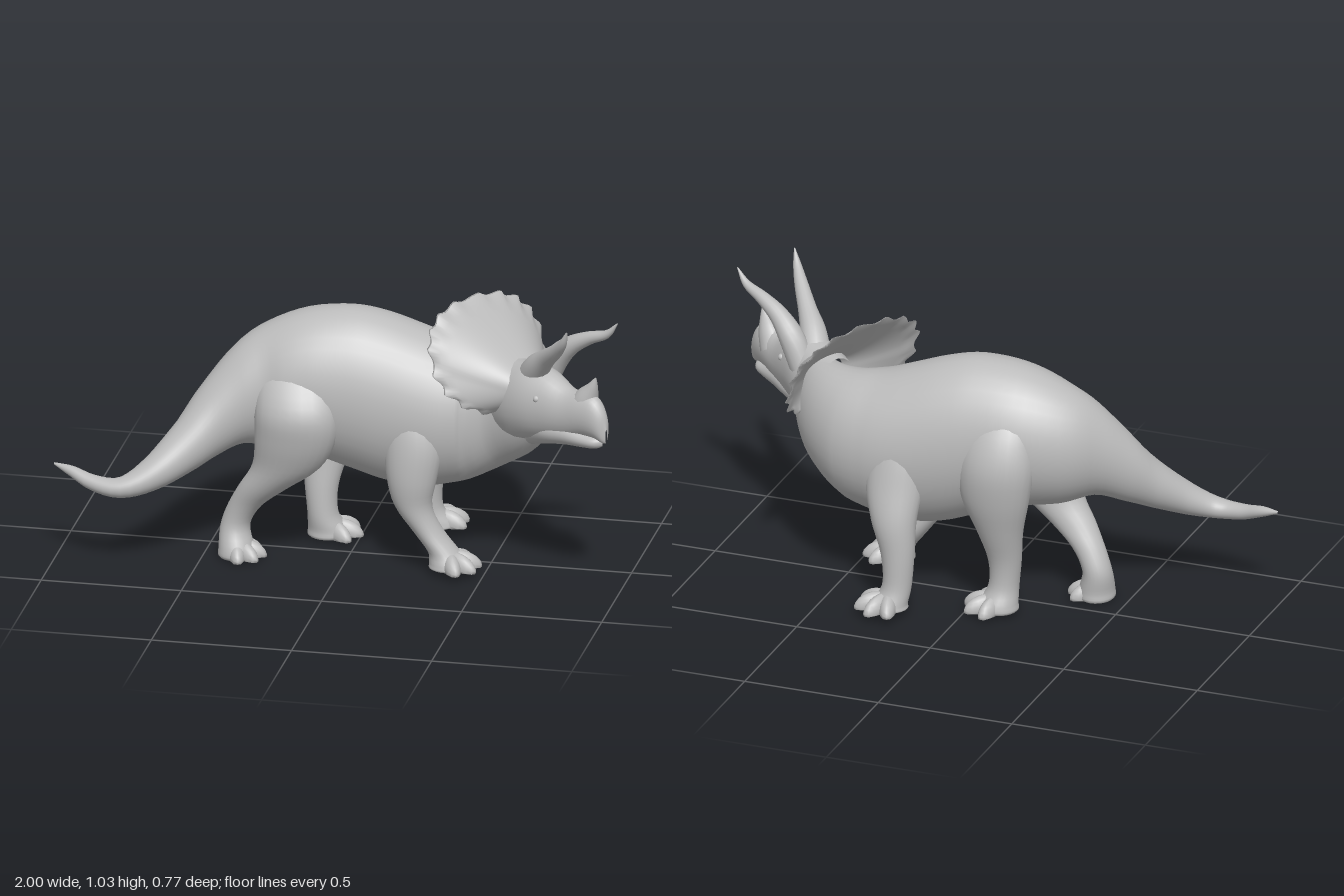
import * as THREE from 'three';

const UP = new THREE.Vector3(0, 1, 0);
const V = (x, y, z) => new THREE.Vector3(x, y, z);

// Head frame: the head is turned towards the animal's right
const F = V(0.79, 0, 0.61).normalize();
const L = V(0.61, 0, -0.79).normalize();
const C = V(0.49, 0, -0.01);
const headPoint = (f, l, y) => C.clone().addScaledVector(F, f).addScaledVector(L, l).setY(y);

// Skin a list of closed rings
function skin(rings) {
  const n = rings[0].length, pos = [], idx = [];
  rings.forEach(r => r.forEach(p => pos.push(p.x, p.y, p.z)));
  for (let i = 0; i < rings.length - 1; i++) {
    for (let j = 0; j < n; j++) {
      const a = i * n + j, b = i * n + (j + 1) % n;
      idx.push(a, b, a + n, b, b + n, a + n);
    }
  }
  const g = new THREE.BufferGeometry();
  g.setAttribute('position', new THREE.Float32BufferAttribute(pos, 3));
  g.setIndex(idx);
  g.computeVertexNormals();
  return g;
}

// Loft through stations [x, y, z, half width, half height]
// mode: 'upright' = vertical sections, 'leg' = level sections, 'free' = across the path
function loft(stations, mode, sides = 24, steps = 4) {
  const path = new THREE.CatmullRomCurve3(stations.map(s => V(s[0], s[1], s[2])), false, 'catmullrom');
  const size = new THREE.CatmullRomCurve3(stations.map(s => V(s[3], s[4], 0)), false, 'catmullrom');
  const count = (stations.length - 1) * steps, rings = [];
  for (let i = 0; i <= count; i++) {
    const t = i / count, p = path.getPoint(t), s = size.getPoint(t), T = path.getTangent(t);
    let A, B;
    if (mode === 'leg') {
      A = V(1, 0, 0);
      B = V(0, 0, 1);
    } else {
      A = UP.clone().cross(T).normalize();
      B = mode === 'upright' ? UP : T.clone().cross(A);
    }
    const ring = [];
    for (let j = 0; j < sides; j++) {
      const a = j / sides * Math.PI * 2;
      ring.push(p.clone().addScaledVector(A, Math.cos(a) * Math.max(s.x, 0.0005))
        .addScaledVector(B, Math.sin(a) * Math.max(s.y, 0.0005)));
    }
    rings.push(ring);
  }
  return skin(rings);
}

// Neck frill: a thin flaring funnel with a toothed rim
function frillGeometry() {
  const sides = 108, rows = 8, rings = [];
  const pow = v => Math.sign(v) * Math.pow(Math.abs(v), 0.83);
  const ring = (s, back) => {
    const out = [];
    for (let j = 0; j < sides; j++) {
      const a = j / sides * Math.PI * 2, sin = Math.sin(a);
      const tooth = s === 1 ? [0.97, 1.0, 1.045, 1.03, 1.0, 0.975][j % 6] : 1;
      const k = (0.28 + 0.72 * s) * tooth;
      const lat = 0.27 * pow(Math.cos(a)) * k;
      const y = 0.70 + 0.085 * s + 0.182 * pow(sin) * k - 0.06 * lat;
      const rim = 0.003 - 0.1 * sin + 0.03 * sin * sin - 0.1 * lat;
      const f = 0.24 + (rim - 0.24) * Math.pow(s, 0.85) - back;
      out.push(headPoint(f, lat - 0.01 * s, y));
    }
    return out;
  };
  for (let i = 0; i <= rows; i++) rings.push(ring(i / rows, 0.008 + 0.05 * (1 - i / rows)));
  for (let i = rows; i >= 0; i--) rings.push(ring(i / rows, 0));
  return skin(rings);
}

export function createModel() {
  const model = new THREE.Group();
  const hide = new THREE.MeshStandardMaterial({ color: 0xbcbcbc });
  hide.name = 'grey hide';
  const add = (name, geometry, parent = model) => {
    const m = new THREE.Mesh(geometry, hide);
    m.name = name;
    parent.add(m);
    return m;
  };

  // Tail, trunk and neck in one sweep
  add('body', loft([
    [-1.0, 0.352, 0.28, 0.004, 0.004], [-0.93, 0.335, 0.302, 0.02, 0.02],
    [-0.85, 0.31, 0.33, 0.03, 0.028], [-0.75, 0.305, 0.342, 0.042, 0.037],
    [-0.65, 0.35, 0.295, 0.062, 0.064], [-0.55, 0.43, 0.215, 0.082, 0.1],
    [-0.47, 0.515, 0.145, 0.1, 0.142], [-0.38, 0.59, 0.085, 0.132, 0.18],
    [-0.28, 0.615, 0.035, 0.18, 0.228], [-0.15, 0.632, 0.005, 0.208, 0.262],
    [0, 0.615, -0.01, 0.215, 0.295], [0.12, 0.585, -0.022, 0.217, 0.305],
    [0.25, 0.555, -0.03, 0.217, 0.29], [0.35, 0.545, -0.033, 0.208, 0.265],
    [0.45, 0.55, -0.03, 0.184, 0.24], [0.55, 0.575, 0.005, 0.138, 0.205],
    [0.65, 0.61, 0.085, 0.092, 0.16], [0.74, 0.64, 0.155, 0.055, 0.09],
  ], 'upright', 36));

  // Head
  const head = new THREE.Group();
  head.name = 'head';
  model.add(head);
  const headLoft = rows => loft(rows.map(([f, l, top, low, w]) => {
    const p = headPoint(f, l, (top + low) / 2);
    return [p.x, p.y, p.z, w, (top - low) / 2];
  }), 'upright');
  // rows: forward, sideways, top, bottom, half width
  add('skull', headLoft([
    [0.08, 0, 0.79, 0.5, 0.085], [0.18, 0, 0.8, 0.51, 0.105], [0.26, 0, 0.81, 0.53, 0.102],
    [0.34, 0.006, 0.795, 0.55, 0.083], [0.42, 0.014, 0.76, 0.575, 0.064],
    [0.49, 0.022, 0.765, 0.6, 0.053], [0.545, 0.027, 0.755, 0.605, 0.041],
    [0.58, 0.03, 0.71, 0.597, 0.025], [0.596, 0.03, 0.65, 0.6, 0.004],
  ]), head);
  add('lowerJaw', headLoft([
    [0.24, 0, 0.64, 0.505, 0.05], [0.34, 0.006, 0.64, 0.535, 0.064], [0.42, 0.014, 0.64, 0.552, 0.056],
    [0.5, 0.022, 0.622, 0.562, 0.042], [0.55, 0.027, 0.614, 0.57, 0.03], [0.578, 0.03, 0.605, 0.585, 0.003],
  ]), head);
  add('frill', frillGeometry(), head);

  // Horns, with the brow horns flaring into the forehead
  const horn = (name, rows) => add(name, loft(rows.map(r => [...r, r[3]]), 'free', 16, 5), head);
  horn('rightBrowHorn', [[0.66, 0.72, 0.105, 0.06], [0.70, 0.805, 0.175, 0.048], [0.745, 0.863, 0.235, 0.034],
    [0.795, 0.92, 0.305, 0.025], [0.83, 0.97, 0.355, 0.015], [0.85, 1.022, 0.38, 0.002]]);
  horn('leftBrowHorn', [[0.70, 0.70, 0.085, 0.045], [0.75, 0.81, 0.098, 0.045], [0.81, 0.877, 0.125, 0.034],
    [0.88, 0.92, 0.152, 0.024], [0.95, 0.95, 0.18, 0.015], [0.993, 1.0, 0.198, 0.002]]);
  horn('noseHorn', [[0.875, 0.69, 0.255, 0.054], [0.9, 0.745, 0.272, 0.042],
    [0.922, 0.79, 0.289, 0.021], [0.937, 0.832, 0.302, 0.002]]);

  // Eyes on both sides
  for (const side of [1, -1]) {
    const eye = add(side > 0 ? 'leftEye' : 'rightEye', new THREE.SphereGeometry(0.013, 12, 8), head);
    eye.position.copy(headPoint(0.335, 0.005 + side * 0.073, 0.715));
  }

  // Legs: level sections from hip to sole, then a fan of toes
  function leg(name, rows, foot) {
    const g = new THREE.Group();
    g.name = name;
    model.add(g);
    const end = rows[rows.length - 1];
    add(name + 'Limb', loft([...rows, [end[0], foot.y, end[2], end[3] * 0.95, end[4] * 0.95],
      [end[0], foot.y, end[2], 0, 0]], 'leg'), g);
    for (let i = 0; i < 4; i++) {
      const k = i - 1.5, geo = new THREE.SphereGeometry(1, 14, 10);
      geo.scale(0.068, 0.042, 0.03);
      geo.rotateZ(-0.3);
      geo.translate(foot.reach * (1 - 0.06 * Math.abs(k)) - 0.064, 0.016, 0);
      geo.rotateY(-foot.yaw - k * 0.68);
      const p = geo.attributes.position;
      for (let v = 0; v < p.count; v++) p.setY(v, Math.max(p.getY(v), 0));
      geo.computeVertexNormals();
      add(name + 'Toe', geo, g).position.set(end[0], foot.y, end[2]);
    }
  }
  leg('rightHindLeg', [
    [-0.17, 0.8, 0.05, 0.09, 0.05], [-0.17, 0.7, 0.11, 0.135, 0.085], [-0.16, 0.58, 0.162, 0.15, 0.105],
    [-0.165, 0.47, 0.168, 0.145, 0.092],
    [-0.2, 0.36, 0.153, 0.12, 0.075], [-0.285, 0.27, 0.133, 0.087, 0.062], [-0.355, 0.19, 0.11, 0.06, 0.053],
    [-0.392, 0.11, 0.1, 0.052, 0.056], [-0.385, 0.035, 0.118, 0.062, 0.07],
  ], { y: 0.0, yaw: 0.3, reach: 0.11 });
  leg('leftHindLeg', [
    [-0.13, 0.8, -0.08, 0.08, 0.05], [-0.12, 0.7, -0.13, 0.12, 0.085], [-0.115, 0.58, -0.155, 0.14, 0.102],
    [-0.11, 0.45, -0.16, 0.125, 0.085],
    [-0.12, 0.32, -0.14, 0.085, 0.068], [-0.13, 0.2, -0.115, 0.06, 0.057], [-0.125, 0.1, -0.11, 0.054, 0.058],
    [-0.11, 0.04, -0.125, 0.07, 0.07],
  ], { y: 0.01, yaw: -0.35, reach: 0.13 });
  leg('rightFrontLeg', [
    [0.23, 0.68, 0.07, 0.06, 0.05], [0.24, 0.57, 0.105, 0.095, 0.07], [0.25, 0.46, 0.125, 0.105, 0.078],
    [0.245, 0.34, 0.137, 0.088, 0.071],
    [0.25, 0.24, 0.133, 0.066, 0.062], [0.3, 0.15, 0.125, 0.053, 0.06], [0.355, 0.08, 0.128, 0.055, 0.06],
    [0.375, 0.04, 0.135, 0.067, 0.067],
  ], { y: 0.02, yaw: 0.1, reach: 0.12 });
  leg('leftFrontLeg', [
    [0.24, 0.7, -0.14, 0.06, 0.05], [0.245, 0.58, -0.165, 0.1, 0.078], [0.25, 0.46, -0.195, 0.105, 0.082],
    [0.24, 0.34, -0.235, 0.082, 0.07],
    [0.22, 0.22, -0.248, 0.06, 0.058], [0.22, 0.1, -0.255, 0.052, 0.054], [0.245, 0.04, -0.27, 0.068, 0.065],
  ], { y: 0.02, yaw: -0.85, reach: 0.125 });

  return model;
}
